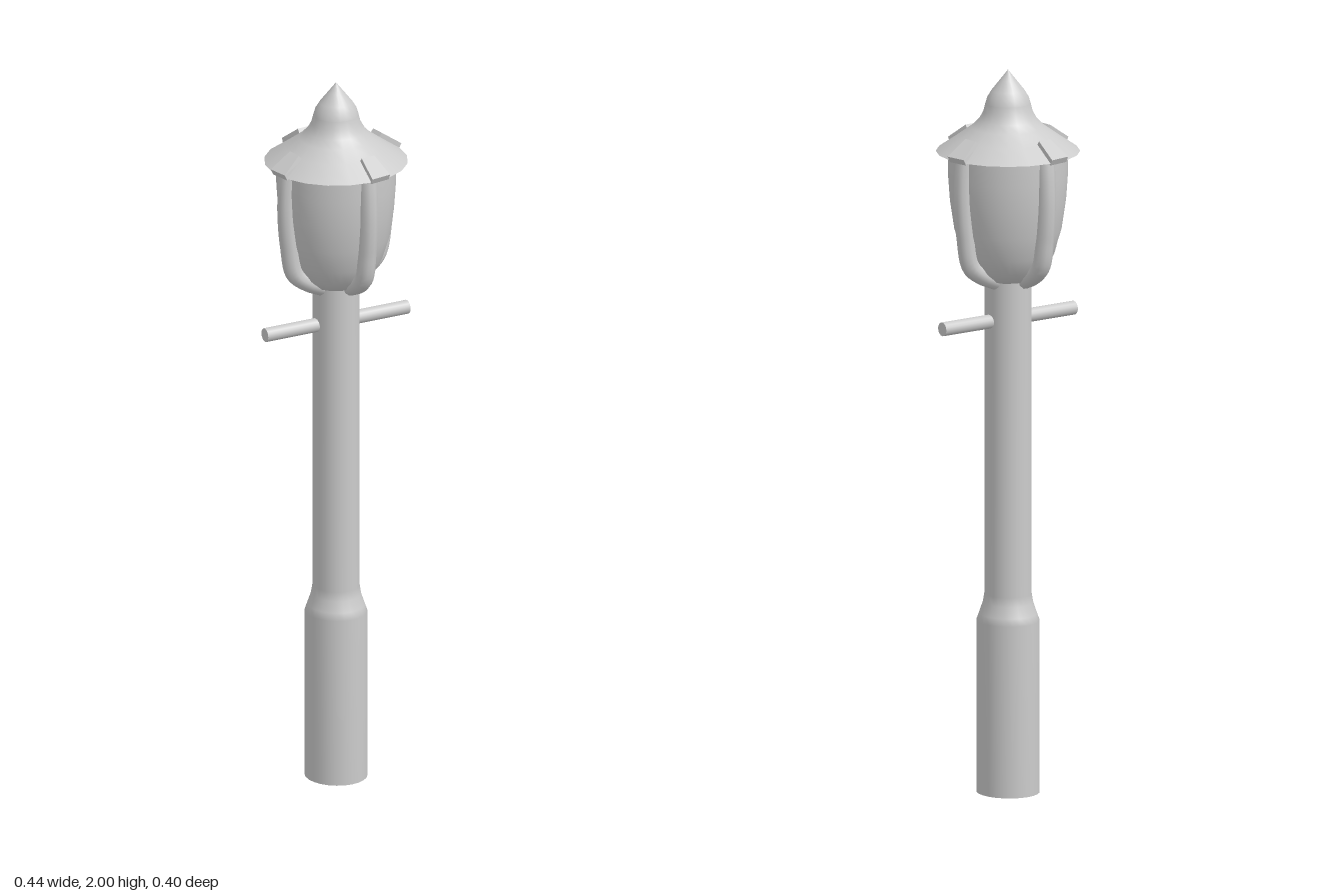
import * as THREE from 'three';
import { ConvexGeometry } from 'three/addons/geometries/ConvexGeometry.js';

const material = new THREE.MeshStandardMaterial({ color: 0xcccccc, side: THREE.DoubleSide });
const flatMaterial = new THREE.MeshStandardMaterial({ color: 0xcccccc, flatShading: true });

function addMesh(parent, name, geometry, mat = material) {
  const mesh = new THREE.Mesh(geometry, mat);
  mesh.name = name;
  parent.add(mesh);
  return mesh;
}

// Revolve a list of [radius, height] pairs
function lathe(profile, sides) {
  return new THREE.LatheGeometry(profile.map(([r, y]) => new THREE.Vector2(r, y)), sides);
}

export function createModel() {
  const model = new THREE.Group();
  model.name = 'streetLamp';

  // Post: wide base, short shoulder, slim shaft, slightly oval in plan
  const post = addMesh(model, 'post', lathe([
    [0.084, 0], [0.084, 0.475], [0.077, 0.495], [0.067, 0.525], [0.063, 0.55], [0.063, 1.43],
  ], 24));
  post.scale.z = 1.06;

  // Ladder bar through the post
  const bar = addMesh(model, 'ladderBar', new THREE.CylinderGeometry(0.019, 0.019, 0.44, 16));
  bar.rotation.z = Math.PI / 2;
  bar.position.y = 1.31;

  // Rounded lantern bowl
  addMesh(model, 'lanternBowl', lathe([
    [0.05, 1.415], [0.075, 1.425], [0.102, 1.452], [0.125, 1.495],
    [0.145, 1.56], [0.157, 1.64], [0.162, 1.71], [0.162, 1.785],
  ], 32));

  // Flared roof, collar and pointed finial
  addMesh(model, 'roof', lathe([
    [0.195, 1.775], [0.14, 1.813], [0.1, 1.842], [0.08, 1.862], [0.067, 1.885], [0.061, 1.908],
  ], 20));
  addMesh(model, 'finial', lathe([
    [0.061, 1.908], [0.056, 1.925], [0.045, 1.943], [0.022, 1.972], [0, 2],
  ], 20));

  // Four ribs round the bowl, each with a wedge clip on the roof edge
  const ribPath = new THREE.CatmullRomCurve3([
    [0.153, 1.79], [0.159, 1.72], [0.16, 1.65], [0.152, 1.56], [0.134, 1.475], [0.095, 1.443], [0.05, 1.423],
  ].map(([r, y]) => new THREE.Vector3(0.012, y, r)));
  const ribGeometry = new THREE.TubeGeometry(ribPath, 32, 0.025, 10, false);

  const clipGeometry = new ConvexGeometry([
    [0, 1.786, 0.202], [0.06, 1.786, 0.192], [0, 1.77, 0.194], [0.06, 1.77, 0.184],
    [0, 1.827, 0.142], [0.041, 1.827, 0.138], [0, 1.812, 0.13], [0.041, 1.812, 0.126],
  ].map((p) => new THREE.Vector3(...p)));

  for (let i = 0; i < 4; i++) {
    const bracket = new THREE.Group();
    bracket.name = 'bracket' + (i + 1);
    bracket.rotation.y = i * Math.PI / 2;
    addMesh(bracket, 'rib', ribGeometry);
    addMesh(bracket, 'roofClip', clipGeometry, flatMaterial);
    model.add(bracket);
  }
  return model;
}
